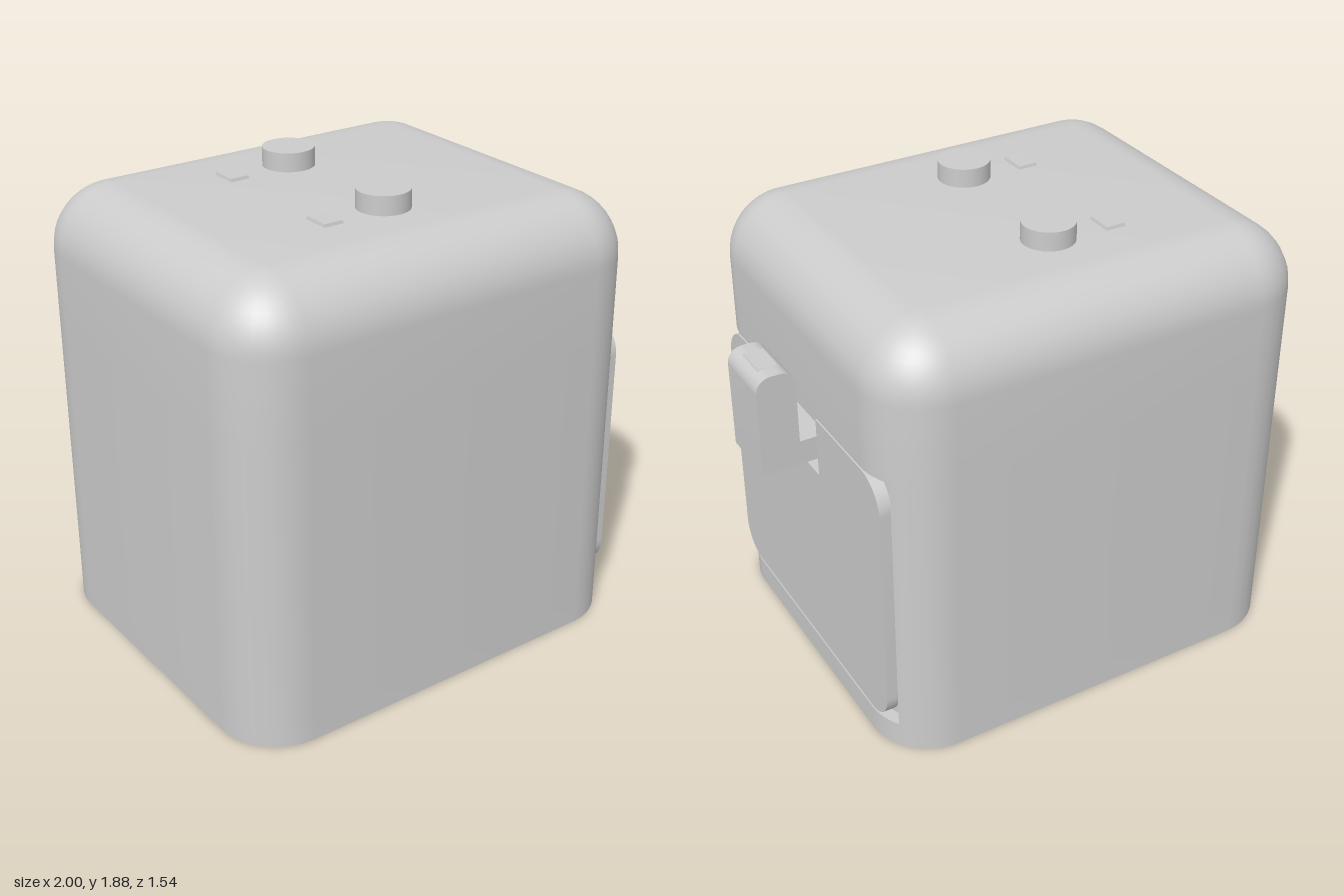
import * as THREE from 'three';
import { toCreasedNormals } from 'three/addons/utils/BufferGeometryUtils.js';

const material = new THREE.MeshStandardMaterial({ color: 0xcccccc });
const R = 0.25;                               // body edge radius
const LEFT = -0.75, RIGHT = 0.54, DEPTH = 0.52; // centres of the body corners
const POCKET = { z: 0.66, low: 0.105, high: 1.235, r: 0.2 };

function add(parent, name, geometry) {
  const mesh = new THREE.Mesh(geometry, material);
  mesh.name = name;
  parent.add(mesh);
  return mesh;
}

// One horizontal outline of the body; the drawer side can be set in by a smaller radius
function bodyLoop(y, r, sideR = r) {
  const pts = [];
  const arc = (cx, cz, radius, from, to) => {
    for (let i = 0; i <= 8; i++) {
      const a = from + (to - from) * i / 8;
      pts.push([cx + radius * Math.cos(a), y, cz + radius * Math.sin(a)]);
    }
  };
  const split = Math.asin((POCKET.z - DEPTH) / R);
  const inner = sideR === r ? split : Math.asin((POCKET.z - DEPTH) / sideR);
  const q = Math.PI / 2;
  arc(RIGHT, DEPTH, sideR, 0, inner);
  arc(RIGHT, DEPTH, r, split, q);
  arc(LEFT, DEPTH, r, q, 2 * q);
  arc(LEFT, -DEPTH, r, 2 * q, 3 * q);
  arc(RIGHT, -DEPTH, r, 3 * q, 4 * q - split);
  arc(RIGHT, -DEPTH, sideR, 4 * q - inner, 4 * q);
  return pts;
}

function bodyGeometry() {
  const loops = [
    bodyLoop(0, R), bodyLoop(POCKET.low, R),
    bodyLoop(POCKET.low, R, POCKET.r), bodyLoop(POCKET.high, R, POCKET.r),
    bodyLoop(POCKET.high, R),
  ];
  for (let i = 0; i <= 12; i++) {
    const a = i / 12 * Math.PI / 2;
    loops.push(bodyLoop(1.55 + R * Math.sin(a), R * Math.cos(a)));
  }
  const n = loops[0].length, index = [];
  const positions = loops.flat(2);
  const mid = (LEFT + RIGHT) / 2;
  positions.push(mid, 0, 0, mid, 1.8, 0);
  const bottom = loops.length * n, top = bottom + 1, last = (loops.length - 1) * n;
  for (let k = 0; k < n; k++) {
    const k1 = (k + 1) % n;
    for (let j = 0; j < loops.length - 1; j++) {
      const a = j * n + k, b = j * n + k1;
      index.push(a, a + n, b + n, a, b + n, b);
    }
    index.push(bottom, k, k1, top, last + k1, last + k);
  }
  const g = new THREE.BufferGeometry();
  g.setAttribute('position', new THREE.Float32BufferAttribute(positions, 3));
  g.setIndex(index);
  return toCreasedNormals(g, 0.5);
}

// Rounded drawer front with a notch for the handle
function drawerGeometry() {
  const w = 0.655, low = 0.115, high = 1.225, r = 0.13, notch = 0.155;
  const s = new THREE.Shape();
  s.moveTo(-w + r, low);
  s.lineTo(w - r, low);
  s.absarc(w - r, low + r, r, -Math.PI / 2, 0);
  s.lineTo(w, high - r);
  s.absarc(w - r, high - r, r, 0, Math.PI / 2);
  s.lineTo(notch, high);
  s.lineTo(notch, 0.975);
  s.lineTo(-notch, 0.975);
  s.lineTo(-notch, high);
  s.lineTo(-w + r, high);
  s.absarc(-w + r, high - r, r, Math.PI / 2, Math.PI);
  s.lineTo(-w, low + r);
  s.absarc(-w + r, low + r, r, Math.PI, Math.PI * 1.5);
  const g = new THREE.ExtrudeGeometry(s, { depth: 0.05, bevelEnabled: false, curveSegments: 10 });
  return toCreasedNormals(g.rotateY(Math.PI / 2).translate(0.74, 0, 0), 0.5);
}

// L-shaped handle with a rounded top
function handleGeometry() {
  const r = 0.06, top = 1.44;
  const s = new THREE.Shape();
  s.moveTo(0.73, 1.03);
  s.lineTo(1, 1.03);
  s.lineTo(1, top - r);
  s.absarc(1 - r, top - r, r, 0, Math.PI / 2);
  s.lineTo(0.845 + r, top);
  s.absarc(0.845 + r, top - r, r, Math.PI / 2, Math.PI);
  s.lineTo(0.845, 1.13);
  s.lineTo(0.73, 1.13);
  const g = new THREE.ExtrudeGeometry(s, { depth: 0.255, bevelEnabled: false, curveSegments: 8 });
  return toCreasedNormals(g.translate(0, 0, -0.1275), 0.5);
}

// Small plate whose top is slightly narrower than its base
function plateGeometry(w, h, d, inset) {
  const g = new THREE.BoxGeometry(w, h, d).toNonIndexed();
  const p = g.attributes.position;
  for (let i = 0; i < p.count; i++) {
    if (p.getY(i) > 0) {
      p.setX(i, p.getX(i) - Math.sign(p.getX(i)) * inset);
      p.setZ(i, p.getZ(i) - Math.sign(p.getZ(i)) * inset);
    }
  }
  g.computeVertexNormals();
  return g;
}

export function createModel() {
  const model = new THREE.Group();
  model.name = 'airFryer';

  add(model, 'body', bodyGeometry());

  const drawer = new THREE.Group();
  drawer.name = 'drawer';
  model.add(drawer);
  add(drawer, 'drawerFront', drawerGeometry());
  add(drawer, 'handle', handleGeometry());
  add(drawer, 'releaseButton', plateGeometry(0.1, 0.025, 0.155, 0.012)).position.set(0.922, 1.43, 0);

  // Knob and indicator light on each half of the top
  for (const [side, z] of [['left', -0.308], ['right', 0.305]]) {
    add(model, side + 'Knob', new THREE.CylinderGeometry(0.103, 0.103, 0.085, 40))
      .position.set(-0.103, 1.8325, z);
    add(model, side + 'IndicatorLight', plateGeometry(0.088, 0.02, 0.118, 0.006))
      .position.set(-0.362, 1.802, z);
  }
  return model;
}
